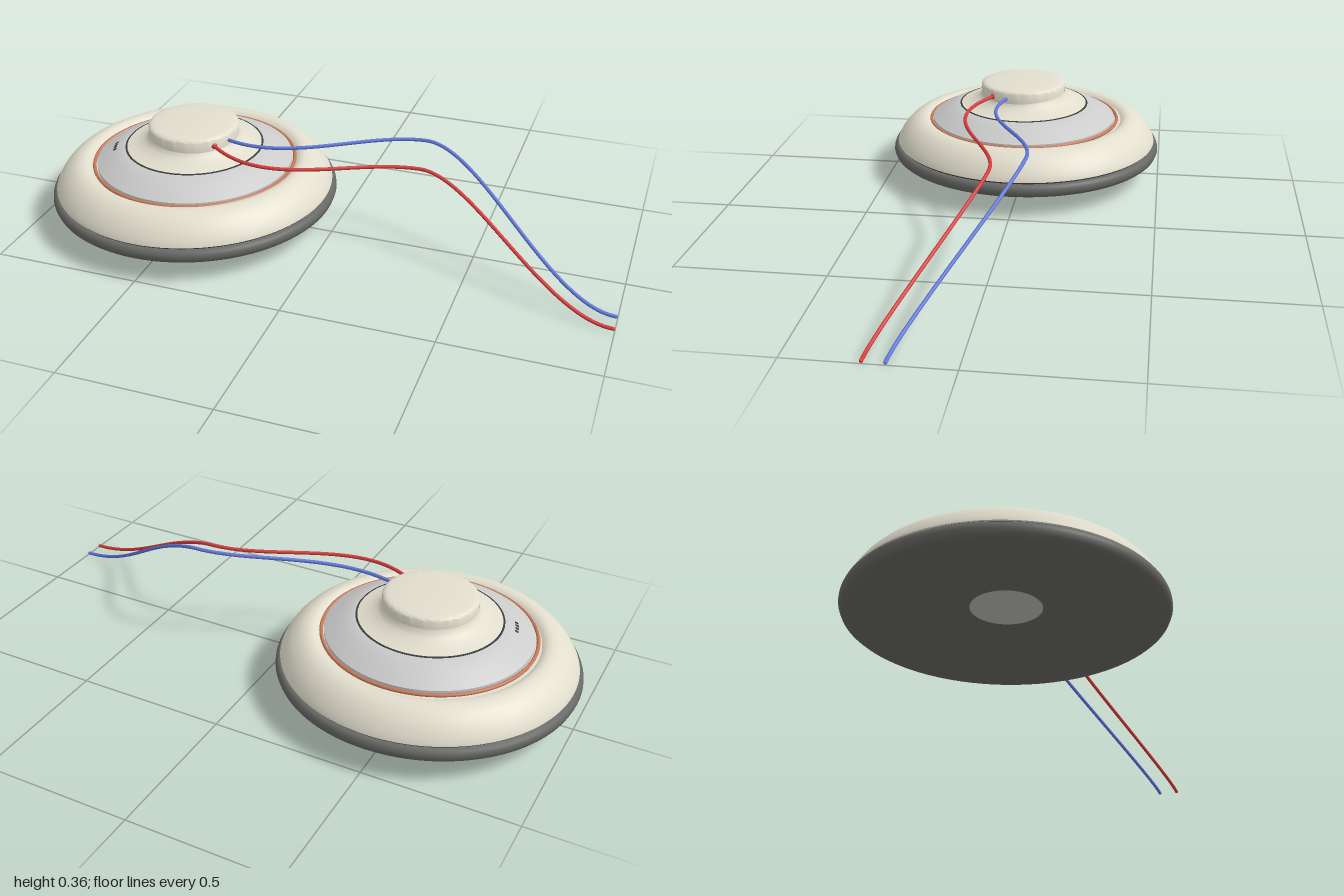
import * as THREE from 'three';
import { toCreasedNormals } from 'three/addons/utils/BufferGeometryUtils.js';

const CX = -0.505; // axis of the round body
const mat = (color) => new THREE.MeshStandardMaterial({ color, side: THREE.DoubleSide });
const colors = {
  beige: mat(0xe2dece), grey: mat(0xc4c4c6), dark: mat(0x686966), groove: mat(0x3a3a38),
  copper: mat(0xc87a58), pad: mat(0xbcbcb8), red: mat(0xd83c3c), blue: mat(0x6278dc),
};

export function createModel() {
  const model = new THREE.Group();
  const add = (name, geometry, material, x = 0, y = 0, z = 0) => {
    const mesh = new THREE.Mesh(geometry, material);
    mesh.name = name;
    mesh.position.set(x, y, z);
    model.add(mesh);
    return mesh;
  };
  // Turned part from [radius, height] points, listed from bottom to top
  const turned = (name, points, material, x = CX, z = 0) => {
    const geometry = new THREE.LatheGeometry(points.map((p) => new THREE.Vector2(...p)), 96);
    return add(name, toCreasedNormals(geometry, 0.6), material, x, 0, z);
  };

  // Rubber base with a shallow hollow underneath
  turned('base', [[0.11, 0.118], [0.22, 0.109], [0.34, 0.094], [0.43, 0.08], [0.465, 0.077], [0.483, 0.079],
    [0.49, 0.085], [0.495, 0.098], [0.494, 0.108], [0.49, 0.118], [0.483, 0.123], [0.46, 0.124]], colors.dark);
  turned('basePad', [[0, 0.118], [0.112, 0.118]], colors.pad);
  turned('seam', [[0.474, 0.12], [0.474, 0.134]], colors.groove);

  // Rounded dome housing, its lip falling into the ring groove
  turned('dome', [[0.47, 0.129], [0.48, 0.13], [0.478, 0.137], [0.47, 0.152], [0.458, 0.17], [0.443, 0.187],
    [0.425, 0.202], [0.406, 0.213], [0.388, 0.218], [0.374, 0.218], [0.362, 0.213], [0.354, 0.206], [0.32, 0.206]], colors.beige);
  const ring = add('copperRing', new THREE.TorusGeometry(0.346, 0.006, 8, 96), colors.copper, CX + 0.006, 0.21, 0.007);
  ring.rotation.x = Math.PI / 2;

  // Sloped plate, collar and knob
  const px = CX + 0.007;
  turned('slopedPlate', [[0.337, 0.206], [0.337, 0.218], [0.325, 0.225], [0.3, 0.239], [0.27, 0.255],
    [0.237, 0.267], [0.225, 0.267]], colors.grey, px, 0.008);
  turned('plateSeam', [[0.237, 0.262], [0.237, 0.268], [0.231, 0.269]], colors.groove, px, 0.008);
  turned('collar', [[0.233, 0.26], [0.233, 0.268], [0.208, 0.274], [0.185, 0.283], [0.168, 0.293], [0.158, 0.302],
    [0.153, 0.315]], colors.beige, px, 0.008);
  turned('knob', [[0.154, 0.3], [0.154, 0.342], [0.151, 0.347], [0.145, 0.35], [0.134, 0.352], [0.09, 0.356],
    [0.045, 0.357], [0, 0.358]], colors.beige, px + 0.002, 0.01);

  // Row of small dark marks on the plate
  for (let i = 0; i < 4; i++) {
    const a = 2.72 + i * 0.06;
    const mark = add('plateMark', new THREE.BoxGeometry(0.012, 0.003, 0.008), colors.groove,
      px + Math.cos(a) * 0.275, 0.2525, 0.008 + Math.sin(a) * 0.275);
    mark.rotation.set(0, -a, -0.5);
  }

  // Wires: two smooth Bezier spans each, [start, 2 handles, crest, 2 handles, end]
  const wire = (name, material, points) => {
    const p = points.map((q) => new THREE.Vector3(...q));
    const path = new THREE.CurvePath();
    path.add(new THREE.CubicBezierCurve3(p[0], p[1], p[2], p[3]));
    path.add(new THREE.CubicBezierCurve3(p[3], p[4], p[5], p[6]));
    add(name, new THREE.TubeGeometry(path, 120, 0.006, 10), material);
    add(name + 'Port', new THREE.SphereGeometry(0.011, 16, 12), material, ...points[0]);
    add(name + 'Tip', new THREE.SphereGeometry(0.006, 10, 8), material, ...points[6]);
  };
  wire('blueWire', colors.blue, [[-0.36, 0.324, 0.05], [-0.1, 0.324, 0.145], [0.09, 0.354, -0.092],
    [0.3, 0.356, -0.098], [0.49, 0.356, -0.098], [0.78, 0.008, 0.2], [0.995, 0.008, 0.2]]);
  wire('redWire', colors.red, [[-0.38, 0.322, 0.105], [-0.13, 0.302, 0.3], [0.08, 0.31, 0.022],
    [0.31, 0.31, 0.018], [0.49, 0.31, 0.018], [0.78, 0.008, 0.267], [0.995, 0.008, 0.267]]);
  return model;
}
